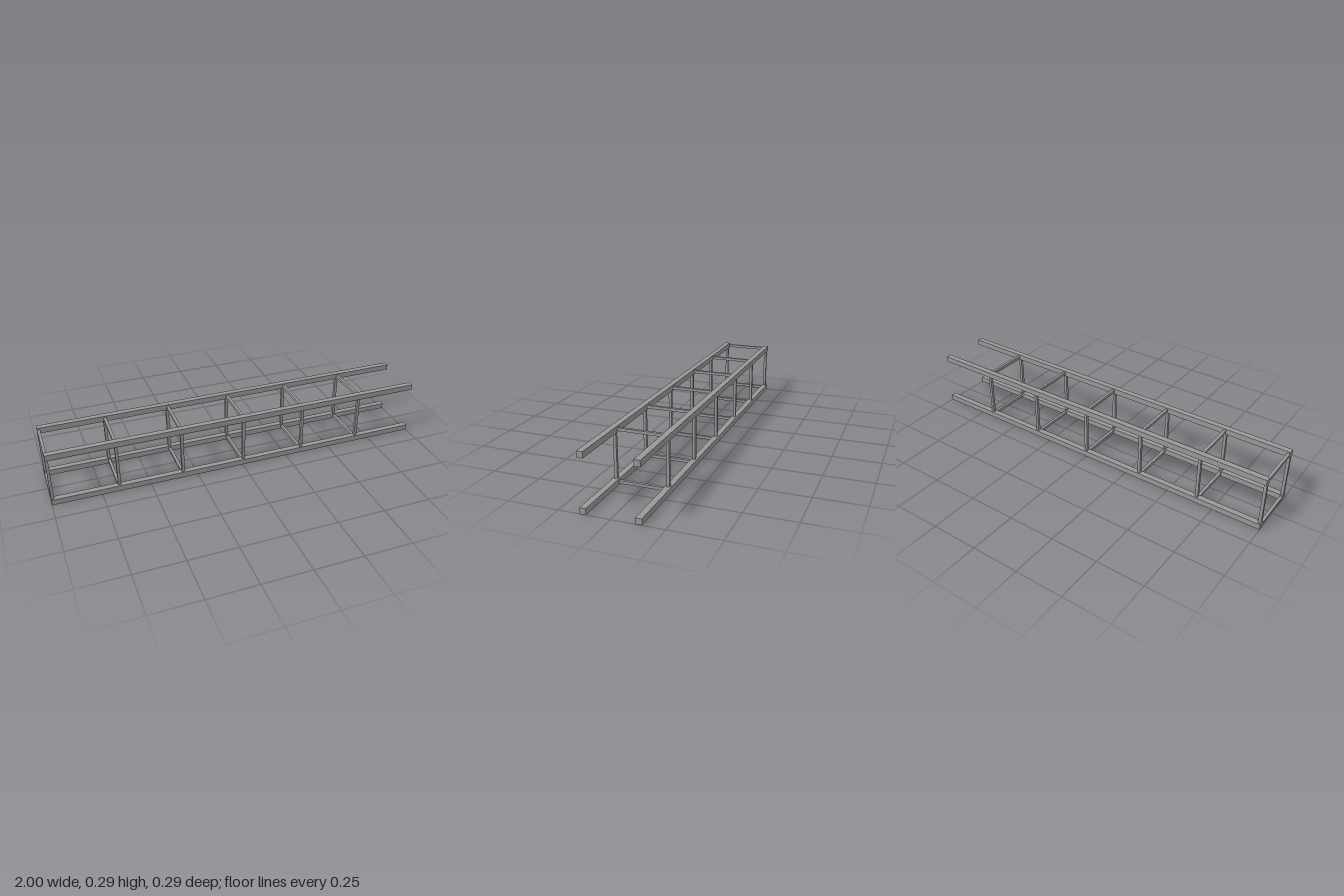
import * as THREE from 'three';

const LENGTH = 2;
const RAIL = 0.03;     // rail thickness
const STRUT = 0.015;   // strut thickness
const SIZE = 0.29;     // outer height and depth of the frame
const OFFSET = (SIZE - RAIL) / 2;
const BAYS = 6;

export function createModel() {
  const model = new THREE.Group();
  model.name = 'trussFrame';
  const steel = new THREE.MeshStandardMaterial({ color: 0x999999 });
  steel.name = 'grey steel';

  const railGeometry = new THREE.BoxGeometry(LENGTH, RAIL, RAIL);
  const gap = SIZE - 2 * RAIL;
  const postGeometry = new THREE.BoxGeometry(STRUT, gap, STRUT);
  const crossGeometry = new THREE.BoxGeometry(STRUT, STRUT, gap);

  const add = (parent, name, geometry, x, y, z) => {
    const mesh = new THREE.Mesh(geometry, steel);
    mesh.name = name;
    mesh.position.set(x, y, z);
    parent.add(mesh);
  };

  // Four long corner rails
  for (const y of [-1, 1]) {
    for (const z of [-1, 1]) {
      const name = (y > 0 ? 'upper' : 'lower') + (z > 0 ? 'Front' : 'Back') + 'Rail';
      add(model, name, railGeometry, 0, SIZE / 2 + y * OFFSET, z * OFFSET);
    }
  }

  // Square strut frames, starting flush at the right end; the left end stays open
  for (let i = 0; i < BAYS; i++) {
    const frame = new THREE.Group();
    frame.name = `strutFrame${i + 1}`;
    frame.position.set(-LENGTH / 2 + STRUT / 2 + i * LENGTH / BAYS, SIZE / 2, 0);
    for (const s of [-1, 1]) {
      add(frame, s > 0 ? 'frontPost' : 'backPost', postGeometry, 0, 0, s * OFFSET);
      add(frame, s > 0 ? 'upperCrossbar' : 'lowerCrossbar', crossGeometry, 0, s * OFFSET, 0);
    }
    model.add(frame);
  }

  return model;
}
